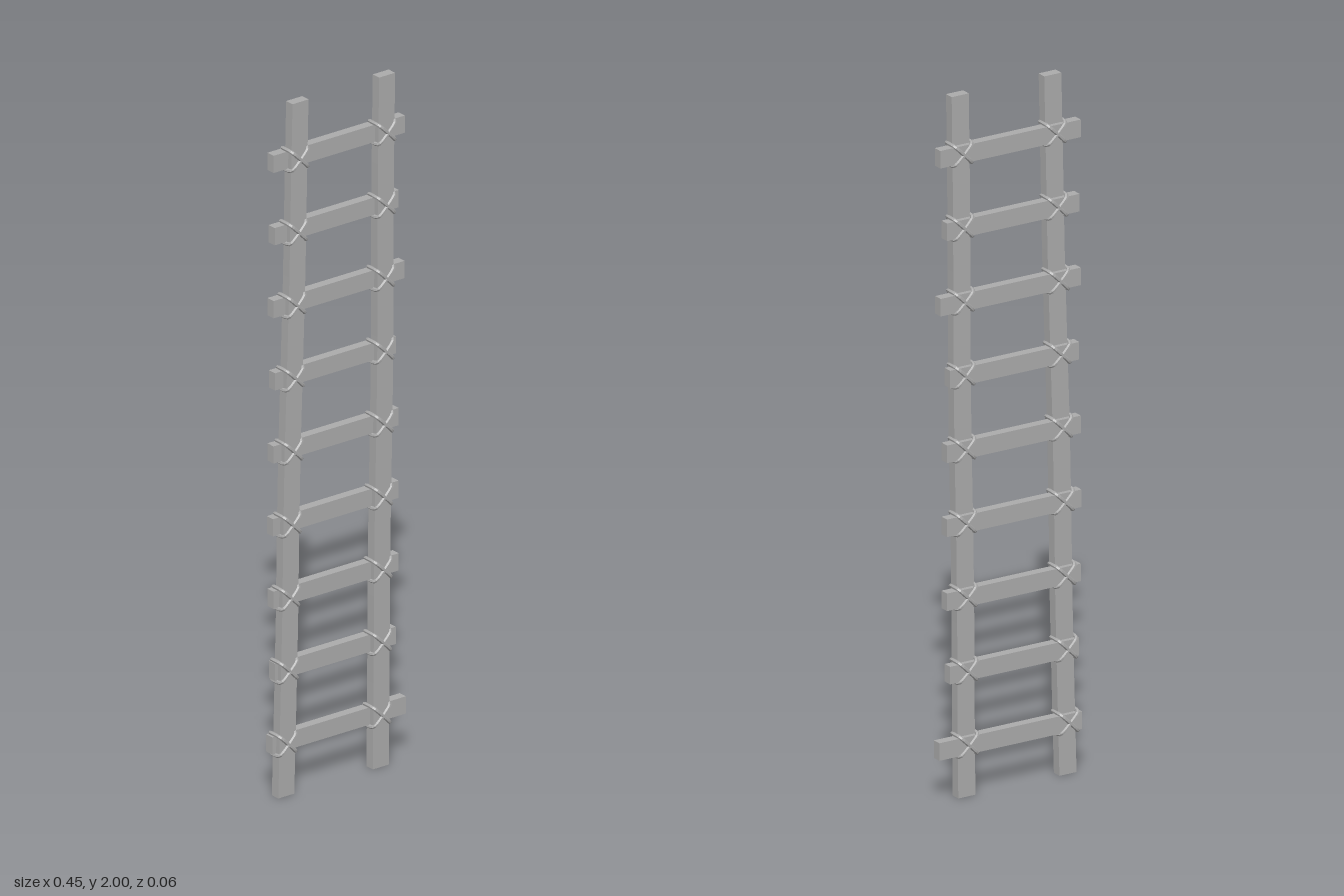
import * as THREE from 'three';

export function createModel() {
  const group = new THREE.Group();
  group.name = 'ladder';
  const wood = new THREE.MeshStandardMaterial({ color: 0xaaaaaa, flatShading: true });
  wood.name = 'plain grey';

  const add = (geometry, name, x = 0, y = 0, z = 0) => {
    const mesh = new THREE.Mesh(geometry, wood);
    mesh.name = name;
    mesh.position.set(x, y, z);
    group.add(mesh);
    return mesh;
  };

  // Leaning rails: centre line x at foot and head, with a slight hand-hewn wobble
  const rails = [
    { name: 'rightRail', foot: -0.19, head: -0.142 },
    { name: 'leftRail', foot: 0.129, head: 0.15 },
  ];
  const railX = (rail, y) => THREE.MathUtils.lerp(rail.foot, rail.head, y / 2);
  rails.forEach((rail, side) => {
    const geo = new THREE.BoxGeometry(0.054, 2, 0.028, 1, 8, 1).translate(0, 1, 0.004);
    const p = geo.attributes.position;
    for (let i = 0; i < p.count; i++) {
      const y = p.getY(i);
      const wobble = 0.0025 * Math.sin(y * 5 + side * 2) * Math.sin(y * Math.PI / 2);
      p.setX(i, p.getX(i) + railX(rail, y) + wobble);
    }
    geo.computeVertexNormals();
    add(geo, rail.name);
  });

  // Lashing loop: a rounded rectangle of rope in the xz plane
  const w = 0.041, d = 0.0255, r = 0.014;
  const loop = [];
  [[1, 1, 0], [-1, 1, 1], [-1, -1, 2], [1, -1, 3]].forEach(([sx, sz, q]) => {
    for (let k = 0; k <= 3; k++) {
      const a = (q + k / 3) * Math.PI / 2;
      loop.push(new THREE.Vector3(
        sx * (w - r) + r * Math.cos(a), 0, sz * (d - r) + r * Math.sin(a)));
    }
  });
  const rope = new THREE.TubeGeometry(
    new THREE.CatmullRomCurve3(loop, true), 32, 0.0055, 6, true);

  // Rungs behind the rails, each [right end, left end], from the lowest up
  const rungs = [
    [-0.226, 0.224], [-0.217, 0.19], [-0.222, 0.2], [-0.224, 0.2], [-0.222, 0.2],
    [-0.217, 0.19], [-0.222, 0.22], [-0.218, 0.2], [-0.222, 0.221],
  ];
  rungs.forEach(([x0, x1], i) => {
    const y = 0.15 + i * 0.2106;
    add(new THREE.BoxGeometry(x1 - x0, 0.05, 0.027), 'rung', (x0 + x1) / 2, y, -0.0095);
    // Two crossed loops at each joint
    for (const rail of rails) {
      for (const tilt of [-1, 1]) {
        add(rope, 'lashing', railX(rail, y), y, -0.0015).rotation.z = tilt * Math.PI / 4;
      }
    }
  });

  return group;
}
